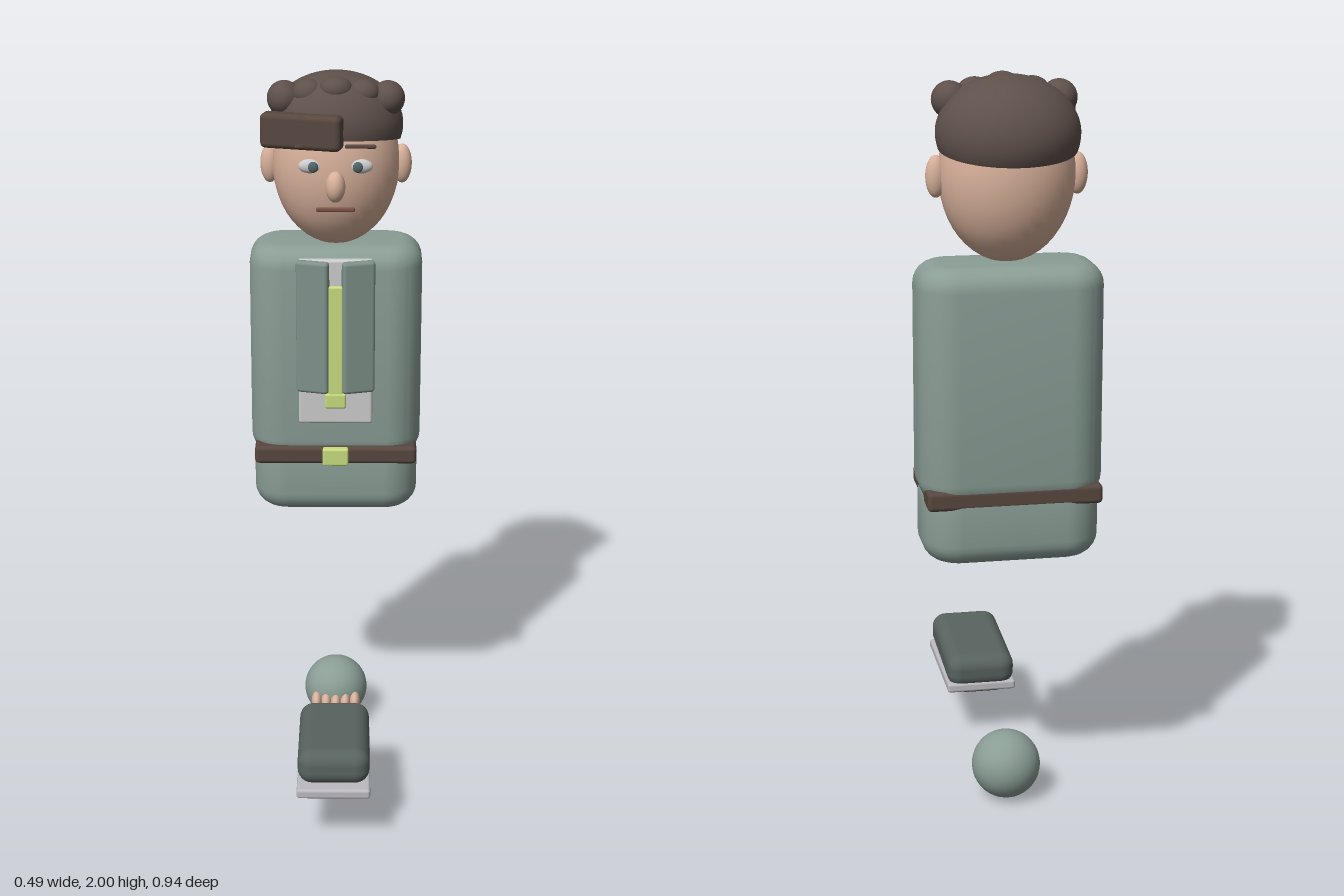
import * as THREE from 'three';
import { RoundedBoxGeometry } from 'three/addons/geometries/RoundedBoxGeometry.js';
import { toCreasedNormals } from 'three/addons/utils/BufferGeometryUtils.js';

const mat = (color) => new THREE.MeshStandardMaterial({ color });
const M = {
  jacket: mat(0x8a9d95), lapel: mat(0x7f918a), skin: mat(0xd8b19b), hair: mat(0x5e504b),
  brown: mat(0x57473f), shirt: mat(0xdcdad8), tie: mat(0xc8dc80), shoe: mat(0x58635f),
  sole: mat(0xbcbac0), iris: mat(0x55666a), mouth: mat(0x7a5045), heel: mat(0x444444),
};

export function createModel() {
  const model = new THREE.Group();

  const add = (name, geometry, material, x, y, z, parent = model) => {
    const mesh = new THREE.Mesh(geometry, material);
    mesh.name = name;
    mesh.position.set(x, y, z);
    parent.add(mesh);
    return mesh;
  };
  const box = (w, h, d, r) => new RoundedBoxGeometry(w, h, d, 4, r);
  const ball = (rx, ry, rz) => new THREE.SphereGeometry(1, 32, 24).scale(rx, ry, rz);

  // Upright block: rounded plan of radius r, softened top and bottom rims
  const block = (w, h, d, r, bevel) => {
    const a = w / 2 - bevel, b = d / 2 - bevel, c = r - bevel;
    const s = new THREE.Shape();
    s.moveTo(-a + c, -b).lineTo(a - c, -b);
    s.absarc(a - c, -b + c, c, -Math.PI / 2, 0);
    s.absarc(a - c, b - c, c, 0, Math.PI / 2);
    s.absarc(-a + c, b - c, c, Math.PI / 2, Math.PI);
    s.absarc(-a + c, -b + c, c, Math.PI, Math.PI * 1.5);
    const g = new THREE.ExtrudeGeometry(s, {
      depth: h - 2 * bevel, bevelThickness: bevel, bevelSize: bevel, bevelSegments: 6, curveSegments: 8,
    });
    g.translate(0, 0, -h / 2 + bevel).rotateX(-Math.PI / 2);
    return toCreasedNormals(g, 0.7);
  };

  // Body and belt
  add('torso', block(0.49, 0.63, 0.268, 0.1, 0.06), M.jacket, 0, 1.208, -0.296);
  add('hips', block(0.474, 0.225, 0.266, 0.1, 0.06), M.jacket, 0, 0.84, -0.294);
  add('belt', box(0.466, 0.052, 0.28, 0.012), M.brown, 0, 0.914, -0.287);
  add('buckle', box(0.074, 0.052, 0.025, 0.006), M.tie, 0, 0.914, -0.143);

  // Shirt front, lapels and tie
  add('shirtFront', box(0.21, 0.484, 0.026, 0.008), M.shirt, 0, 1.258, -0.153);
  for (const side of [1, -1]) {
    const lapel = add(side > 0 ? 'leftLapel' : 'rightLapel', box(0.094, 0.385, 0.028, 0.01),
      M.lapel, side * 0.064, 1.308, -0.128);
    lapel.rotation.y = side * 0.28;
  }
  add('tie', box(0.042, 0.34, 0.02, 0.005), M.tie, 0, 1.26, -0.122);
  add('tieTip', box(0.06, 0.044, 0.022, 0.006), M.tie, 0, 1.094, -0.12);

  // Head
  const head = new THREE.Group();
  head.name = 'head';
  model.add(head);
  add('face', ball(0.178, 0.23, 0.16), M.skin, 0, 1.747, -0.275, head);
  add('nose', ball(0.027, 0.043, 0.032), M.skin, 0, 1.715, -0.111, head);
  add('mouth', box(0.106, 0.012, 0.012, 0.004), M.mouth, 0, 1.65, -0.117, head);
  for (const side of [1, -1]) {
    const p = side > 0 ? 'left' : 'right';
    add(p + 'Ear', ball(0.027, 0.055, 0.025), M.skin, side * 0.185, 1.743, -0.28, head);
    add(p + 'Eye', ball(0.034, 0.02, 0.016), M.shirt, side * 0.068, 1.768, -0.132, head);
    add(p + 'Iris', ball(0.014, 0.015, 0.008), M.iris, side * 0.061, 1.768, -0.118, head);
    add(p + 'Brow', box(0.085, 0.01, 0.012, 0.004), M.brown, side * 0.068, 1.825, -0.118, head);
  }

  // Hair cap tipped backwards, with a row of curls and a fringe bar
  const capMat = M.hair.clone();
  capMat.side = THREE.DoubleSide;
  const cap = add('hairCap',
    new THREE.SphereGeometry(1, 40, 24, 0, Math.PI * 2, 0, Math.PI * 0.59).scale(0.187, 0.147, 0.176),
    capMat, 0, 1.852, -0.294, head);
  cap.rotation.x = -0.16;
  add('curl', ball(0.046, 0.034, 0.045), M.hair, 0, 1.965, -0.208, head);
  for (const side of [1, -1]) {
    add('curl', ball(0.046, 0.038, 0.046), M.hair, side * 0.075, 1.95, -0.225, head);
    add('sideCurl', ball(0.047, 0.048, 0.056), M.hair, side * 0.143, 1.933, -0.243, head);
  }
  add('fringe', box(0.228, 0.096, 0.054, 0.015), M.brown, -0.092, 1.862, -0.14, head).rotation.y = -0.27;

  // Shoe
  const shoe = new THREE.Group();
  shoe.name = 'shoe';
  model.add(shoe);
  add('shoeUpper', box(0.198, 0.1, 0.36, 0.04), M.shoe, 0, 0.215, 0.275, shoe).rotation.x = -0.06;
  add('sole', box(0.202, 0.028, 0.37, 0.008), M.sole, 0, 0.16, 0.285, shoe);
  add('heel', box(0.11, 0.02, 0.06, 0.005), M.heel, 0, 0.151, 0.14, shoe);

  // Cuff ball with a row of fingers
  const hand = new THREE.Group();
  hand.name = 'hand';
  model.add(hand);
  add('cuff', ball(0.095, 0.095, 0.095), M.jacket, 0, 0.096, -0.287, hand);
  for (let i = -2; i <= 2; i++) {
    add('finger', ball(0.016, 0.028, 0.032), M.skin, i * 0.029, 0.084, -0.198 - Math.abs(i) * 0.006, hand);
  }
  return model;
}
